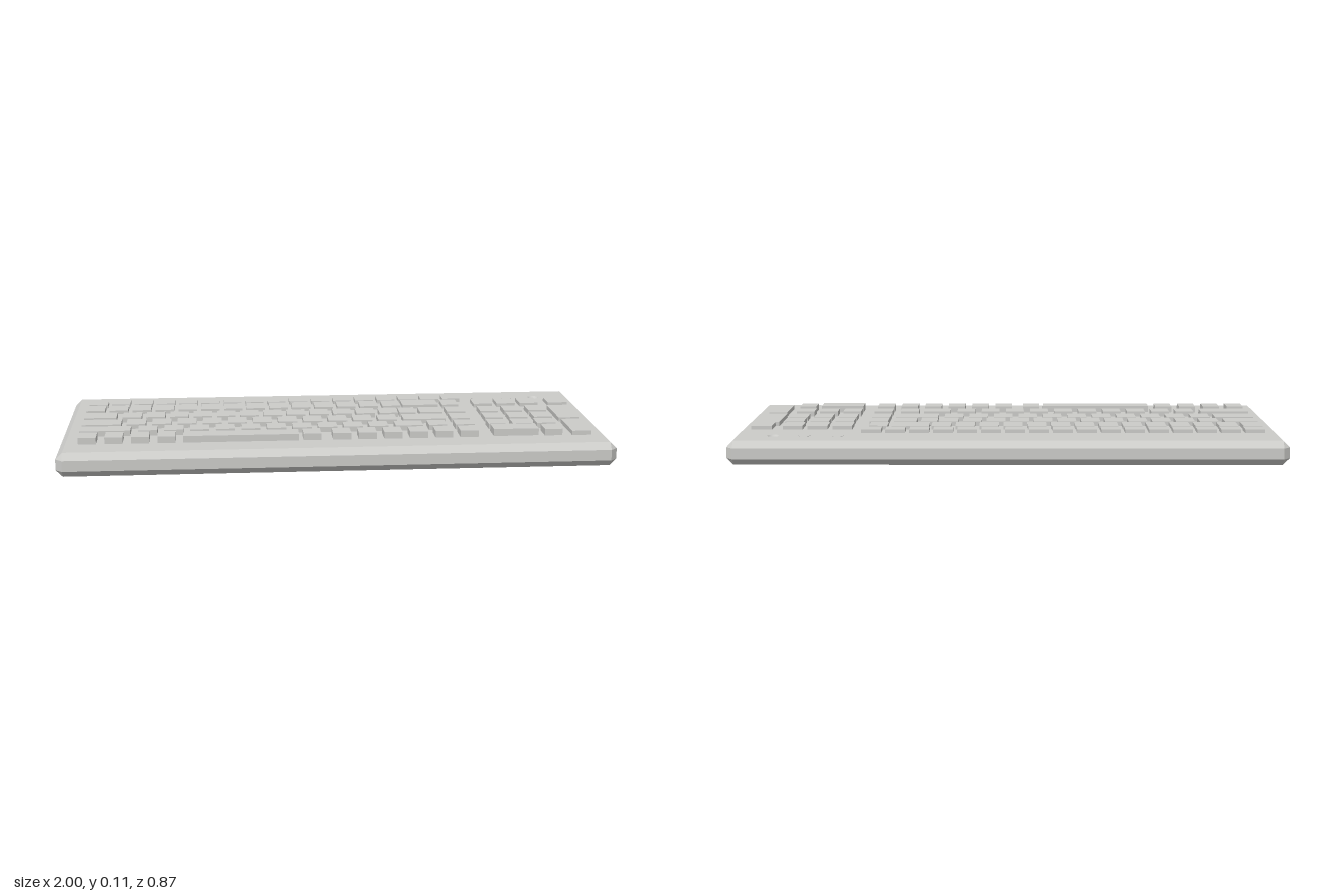
import * as THREE from 'three';
import { ConvexGeometry } from 'three/addons/geometries/ConvexGeometry.js';

const TOP = 0.087, HX = 1, HZ = 0.433, BEVEL = 0.024;
const LIGHT_Z = -0.308, LIGHT_R = 0.022;

export function createModel() {
  const group = new THREE.Group();
  const grey = new THREE.MeshStandardMaterial({ color: 0xcbcbc8 });
  grey.name = 'grey';
  const add = (name, geometry, x = 0, y = 0, z = 0) => {
    const mesh = new THREE.Mesh(geometry, grey);
    mesh.name = name;
    mesh.position.set(x, y, z);
    group.add(mesh);
  };

  // Case: a slab with every edge chamfered
  const points = [];
  for (const sx of [-1, 1]) for (const sy of [-1, 1]) for (const sz of [-1, 1]) {
    for (let axis = 0; axis < 3; axis++) {
      const inset = [BEVEL, BEVEL, BEVEL];
      inset[axis] = 0;
      points.push(new THREE.Vector3(
        sx * (HX - inset[0]), TOP / 2 + sy * (TOP / 2 - inset[1]), sz * (HZ - inset[2])));
    }
  }
  // Leave the top open, so that a panel with a round socket can close it
  const hull = new ConvexGeometry(points).getAttribute('position').array;
  const open = [];
  for (let i = 0; i < hull.length; i += 9) {
    const flatTop = [1, 4, 7].every((k) => hull[i + k] > TOP - 1e-4);
    if (!flatTop) open.push(...hull.slice(i, i + 9));
  }
  const caseGeometry = new THREE.BufferGeometry();
  caseGeometry.setAttribute('position', new THREE.Float32BufferAttribute(open, 3));
  caseGeometry.computeVertexNormals();
  add('case', caseGeometry);

  // Top panel
  const w = HX - BEVEL, d = HZ - BEVEL;
  const panel = new THREE.Shape();
  panel.moveTo(-w, -d).lineTo(w, -d).lineTo(w, d).lineTo(-w, d);
  panel.holes.push(new THREE.Path().absarc(0.846, -LIGHT_Z, LIGHT_R, 0, Math.PI * 2, true));
  add('topPanel', new THREE.ShapeGeometry(panel, 12).rotateX(-Math.PI / 2), 0, TOP);

  // Concave socket, profiled from rim to centre, and two flush discs
  const bowl = [];
  for (let i = 0; i <= 4; i++) {
    const r = LIGHT_R * (1 - i / 4);
    bowl.push(new THREE.Vector2(r, -0.016 * (1 - (r / LIGHT_R) ** 2)));
  }
  add('indicatorSocket', new THREE.LatheGeometry(bowl, 24), 0.846, TOP, LIGHT_Z);
  for (const x of [0.615, 0.735]) {
    add('indicatorDisc', new THREE.CylinderGeometry(LIGHT_R, LIGHT_R, 0.002, 24), x, TOP, LIGHT_Z);
  }

  // A row returns a helper that lays evenly spaced keys from a left edge
  const row = (name, z, depth, bottom, top) => (left, width, count = 1, pitch = 0) => {
    for (let i = 0; i < count; i++) {
      add(name, new THREE.BoxGeometry(width, top - bottom, depth),
        left + i * pitch + width / 2, (bottom + top) / 2, z);
    }
  };

  // Back row
  row('backRowKey', -0.257, 0.065, 0.093, 0.107)(-0.93, 0.071, 17, 0.0869);

  // Number row, with deeper keys on the right
  const number = row('numberKey', -0.167, 0.089, 0.093, 0.107);
  number(-0.935, 0.071, 14, 0.0881);
  number(0.444, 0.066);
  const deep = row('deepKey', -0.173, 0.087, 0.093, 0.107);
  deep(0.29, 0.138);
  deep(0.572, 0.072, 3, 0.091);
  deep(0.866, 0.075);

  // Upper letter row
  const upper = row('upperLetterKey', -0.058, 0.084, TOP, 0.105);
  upper(-0.935, 0.122);
  upper(-0.79, 0.071, 12, 0.0889);
  upper(0.265, 0.062);
  upper(0.343, 0.085);
  upper(0.45, 0.07);
  upper(0.578, 0.069, 3, 0.0935);

  // Home row
  const home = row('homeRowKey', 0.045, 0.083, TOP, 0.104);
  home(-0.935, 0.145);
  home(-0.77, 0.071, 11, 0.0942);
  home(0.267, 0.161);
  home(0.45, 0.07);
  home(0.578, 0.069, 3, 0.0935);

  // Lower letter row
  const lower = row('lowerLetterKey', 0.156, 0.072, TOP, 0.107);
  lower(-0.935, 0.185);
  lower(-0.722, 0.07, 10, 0.0944);
  lower(0.225, 0.102);
  lower(0.348, 0.07);
  lower(0.45, 0.07);
  lower(0.573, 0.069, 3, 0.0905);

  // Bottom row
  const bottom = row('bottomRowKey', 0.263, 0.078, TOP, 0.111);
  bottom(-0.93, 0.064, 4, 0.0943);
  bottom(-0.123, 0.064);
  bottom(-0.016, 0.066, 6, 0.0932);
  bottom(0.76, 0.064);
  row('spaceBar', 0.267, 0.07, TOP, 0.111)(-0.556, 0.417);
  row('widePadKey', 0.258, 0.076, TOP, 0.113)(0.573, 0.165);

  // Tall keys at the right of the number pad
  row('tallPadKey', -0.002, 0.204, TOP, 0.103)(0.856, 0.079);
  row('tallPadKey', 0.213, 0.182, TOP, 0.103)(0.86, 0.07);

  return group;
}
